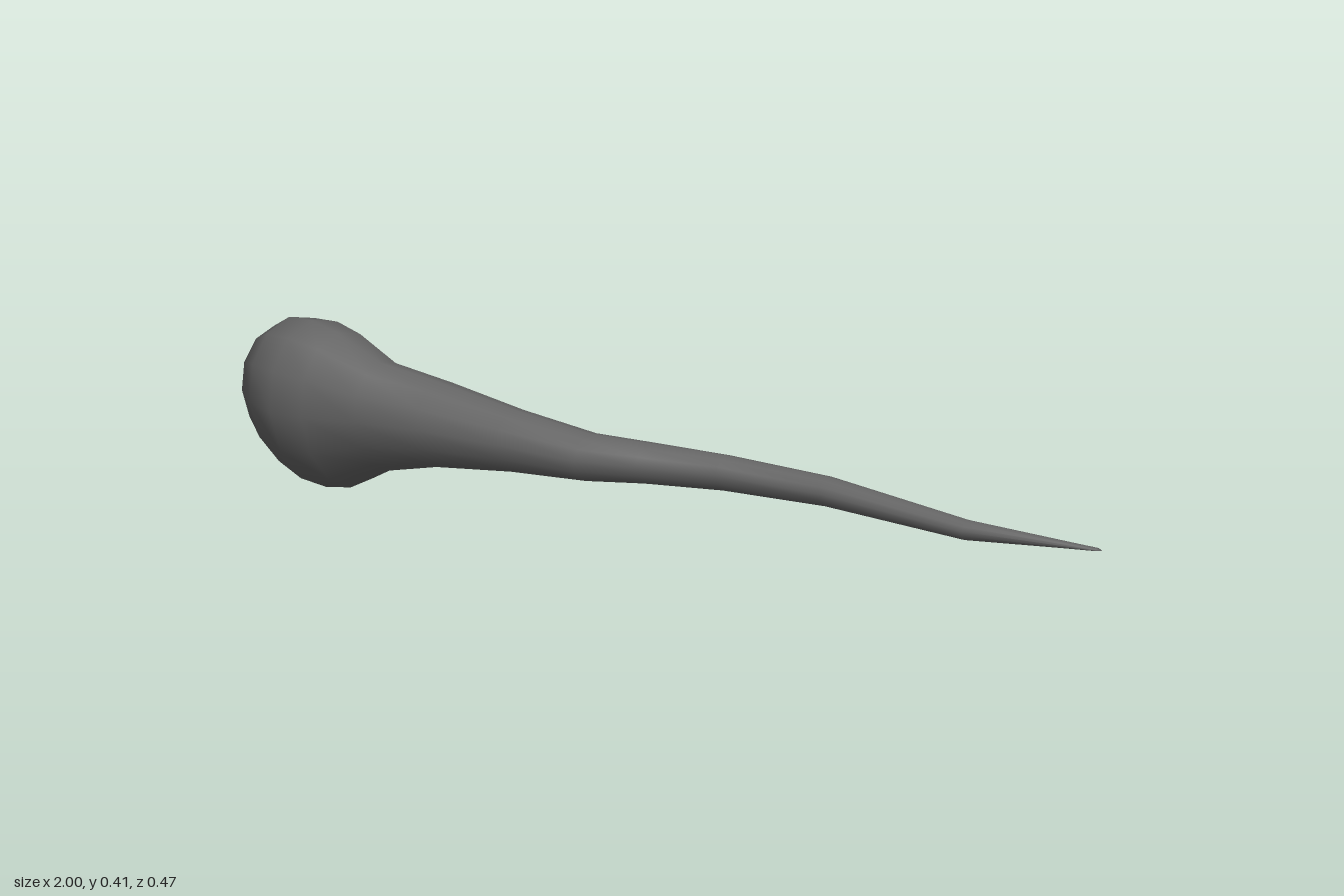
import * as THREE from 'three';

const SIDES = 13;

// Cross-sections along the body: x, bottom y, top y, back z, front z
const SECTIONS = [
  [-1.0, 0.17, 0.28, -0.01, 0.11],
  [-0.95, 0.08, 0.365, -0.085, 0.175],
  [-0.88, 0.025, 0.403, -0.108, 0.217],
  [-0.8, 0.0, 0.412, -0.108, 0.232],
  [-0.72, 0.018, 0.398, -0.085, 0.215],
  [-0.6, 0.088, 0.35, -0.04, 0.175],
  [-0.45, 0.132, 0.324, -0.034, 0.142],
  [-0.26, 0.156, 0.294, -0.036, 0.096],
  [-0.08, 0.166, 0.27, -0.055, 0.053],
  [0.04, 0.173, 0.261, -0.098, 0.0],
  [0.2, 0.176, 0.252, -0.143, -0.07],
  [0.42, 0.177, 0.239, -0.19, -0.124],
  [0.74, 0.179, 0.22, -0.182, -0.143],
  [0.99, 0.196, 0.201, -0.236, -0.222],
];

// Rings of points joined into one smooth skin, with a point closing each end
function loft(sections) {
  const pos = [], index = [];
  for (const [x, y0, y1, z0, z1] of sections) {
    const cy = (y0 + y1) / 2, cz = (z0 + z1) / 2;
    const ry = (y1 - y0) / 2, rz = (z1 - z0) / 2;
    for (let j = 0; j < SIDES; j++) {
      const a = (j / SIDES) * Math.PI * 2;
      const up = Math.cos(a) * ry * 1.01;
      // the head leans slightly forward at the top
      const lean = x < -0.5 ? 0.15 * up : 0;
      pos.push(x, cy + up, cz + Math.sin(a) * rz * 1.01 + lean);
    }
  }
  for (let i = 0; i < sections.length - 1; i++) {
    for (let j = 0; j < SIDES; j++) {
      const k = (j + 1) % SIDES;
      const a = i * SIDES + j, b = i * SIDES + k;
      index.push(a, b, b + SIDES, a, b + SIDES, a + SIDES);
    }
  }
  const addCap = (i, x, flip) => {
    const [, y0, y1, z0, z1] = sections[i];
    const c = pos.length / 3;
    pos.push(x, (y0 + y1) / 2, (z0 + z1) / 2);
    for (let j = 0; j < SIDES; j++) {
      const a = i * SIDES + j, b = i * SIDES + ((j + 1) % SIDES);
      index.push(c, flip ? b : a, flip ? a : b);
    }
  };
  addCap(0, -1.0, true);
  addCap(sections.length - 1, 1.0, false);
  const geo = new THREE.BufferGeometry();
  geo.setAttribute('position', new THREE.Float32BufferAttribute(pos, 3));
  geo.setIndex(index);
  geo.computeVertexNormals();
  return geo;
}

export function createModel() {
  const group = new THREE.Group();
  // Round head flowing into a long wavy tail
  const body = new THREE.Mesh(
    loft(SECTIONS),
    new THREE.MeshStandardMaterial({ color: 0x666666, side: THREE.DoubleSide })
  );
  body.name = 'headAndTail';
  group.add(body);
  return group;
}
